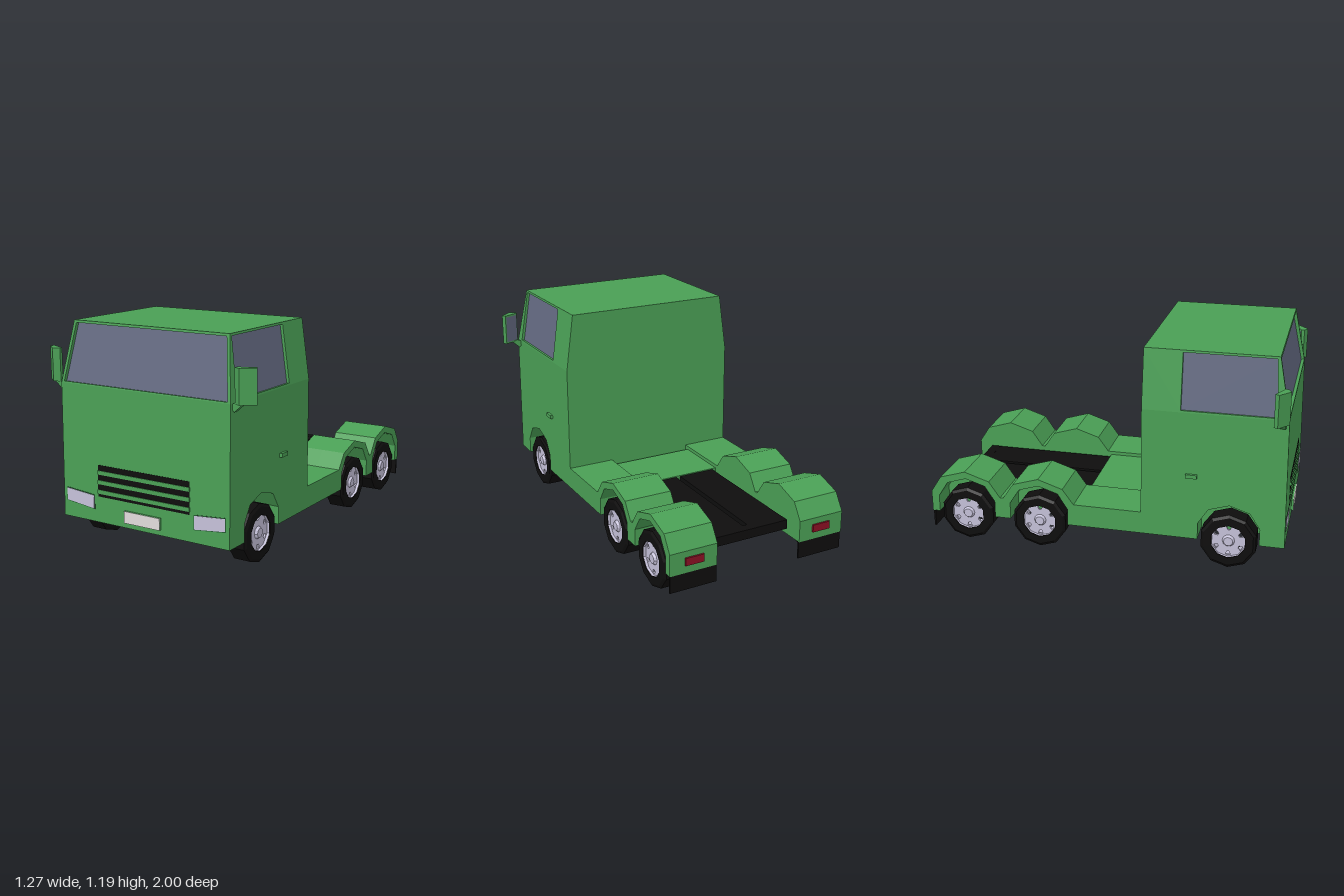
import * as THREE from 'three';

const mat = (color, side = THREE.FrontSide) => new THREE.MeshStandardMaterial({ color, side, flatShading: true });
const GREEN = mat(0x4a9f55), BLACK = mat(0x0e0d0d), GLASS = mat(0x646a82);
const LILAC = mat(0xc4c0d8), RIM = mat(0xc4c0d8, THREE.DoubleSide), WHITE = mat(0xe2dcdc), RED = mat(0x8a1024);

export function createModel() {
  const model = new THREE.Group();

  function add(name, geometry, material, parent = model) {
    const mesh = new THREE.Mesh(geometry, material);
    mesh.name = name;
    parent.add(mesh);
    return mesh;
  }
  // Box given by its limits
  function box(name, material, [x0, x1], [y0, y1], [z0, z1], parent = model) {
    const g = new THREE.BoxGeometry(x1 - x0, y1 - y0, z1 - z0);
    g.translate((x0 + x1) / 2, (y0 + y1) / 2, (z0 + z1) / 2);
    return add(name, g, material, parent);
  }
  const toShape = (pts) => new THREE.Shape(pts.map(([u, v]) => new THREE.Vector2(u, v)));
  const extrude = (shape, depth) => new THREE.ExtrudeGeometry(shape, { depth, bevelEnabled: false });
  // Side profile of [z, y] points, extruded from x0 to x1
  const prism = (shape, x0, x1) => extrude(shape, x1 - x0).rotateY(-Math.PI / 2).translate(x1, 0, 0);
  // Flat quads, corners counter-clockwise from outside
  function quads(list) {
    const g = new THREE.BufferGeometry();
    const pos = list.flatMap(([a, b, c, d]) => [a, b, c, a, c, d].flat());
    g.setAttribute('position', new THREE.Float32BufferAttribute(pos, 3));
    g.computeVertexNormals();
    return g;
  }
  // Wall with a recessed window
  function windowWall(name, outer, inner, recess) {
    const back = inner.map((p) => p.map((v, i) => v + recess[i]));
    const frame = [];
    for (let i = 0; i < 4; i++) {
      const j = (i + 1) % 4;
      frame.push([outer[i], outer[j], inner[j], inner[i]], [inner[i], inner[j], back[j], back[i]]);
    }
    add(name + 'Frame', quads(frame), GREEN);
    add(name + 'Glass', quads([back]), GLASS);
  }
  // Outline of a wheel well, running towards the front
  const well = (z) => [[-0.165, 0.155], [-0.165, 0.25], [-0.11, 0.335], [0, 0.37],
    [0.11, 0.335], [0.165, 0.25], [0.165, 0.155]].map(([dz, y]) => [z + dz, y]);

  const AXLES = [0.69, -0.36, -0.78];
  const WELL_X = 0.38, SIDE_X = 0.52, INNER_X = 0.25;

  // Lower cab: solid core and outer sides with wheel wells
  const cabTop = [[0.988, 0.155], [0.975, 0.87], [0.215, 0.87], [0.215, 0.155]];
  add('cabCore', prism(toShape(cabTop), -WELL_X, WELL_X), GREEN);
  const cabSide = toShape([...cabTop, ...well(AXLES[0])]);

  // Chassis sides with double-humped fenders
  const fenderTop = [[0.215, 0.155], [0.215, 0.28], [-0.16, 0.28], [-0.222, 0.365], [-0.36, 0.41],
    [-0.505, 0.365], [-0.565, 0.275], [-0.583, 0.275], [-0.645, 0.365], [-0.785, 0.41],
    [-0.93, 0.365], [-0.988, 0.275], [-0.988, 0.155]];
  const fenderInner = toShape(fenderTop);
  const fenderOuter = toShape([...fenderTop, ...well(AXLES[2]), ...well(AXLES[1])]);

  // Upper cab: windscreen, side windows, roof, back
  const sx = (y) => 0.52 - 0.045 * (y - 0.87) / 0.32;
  const fz = (y) => 0.975 - 0.065 * (y - 0.87) / 0.32;
  const frontRow = (y, inset) => [[-sx(y) + inset, y, fz(y)], [sx(y) - inset, y, fz(y)]];
  const loop = (lo, hi, inset) => [...frontRow(lo, inset), ...frontRow(hi, inset).reverse()];
  windowWall('windscreen', loop(0.87, 1.19, 0), loop(0.878, 1.177, 0.017), [0, -0.003, -0.018]);
  const [A, B] = [0.475, 1.19];
  add('cabRoof', quads([[[-A, B, 0.91], [A, B, 0.91], [A, B, 0.215], [-A, B, 0.215]]]), GREEN);
  add('cabBack', quads([[[0.52, 0.87, 0.215], [-0.52, 0.87, 0.215], [-A, B, 0.215], [A, B, 0.215]]]), GREEN);

  // Wheel geometry, shared
  const tyrePts = [[0.095, -0.055], [0.14, -0.055], [0.155, -0.046], [0.155, 0.046],
    [0.14, 0.055], [0.095, 0.055], [0.095, -0.055]].map(([r, x]) => new THREE.Vector2(r, x));
  const tyreGeo = new THREE.LatheGeometry(tyrePts, 10, Math.PI / 2).rotateZ(-Math.PI / 2);
  const barrelGeo = new THREE.CylinderGeometry(0.094, 0.094, 0.1, 10, 1, true, Math.PI / 2).rotateZ(-Math.PI / 2);
  const polar = (r, a) => [r * Math.cos(a), r * Math.sin(a)];
  const disc = toShape(Array.from({ length: 10 }, (_, i) => polar(0.095, Math.PI / 2 + i * Math.PI / 5)));
  for (let i = 0; i < 6; i++) {
    const a = (i + 0.5) * Math.PI / 3;
    const hole = [polar(0.064, a - 0.1), polar(0.064, a + 0.1), polar(0.085, a + 0.17), polar(0.085, a - 0.17)];
    disc.holes.push(new THREE.Path(hole.map(([u, v]) => new THREE.Vector2(u, v))));
  }
  const discGeo = prism(disc, 0.025, 0.037);
  const hubGeo = new THREE.CylinderGeometry(0.025, 0.035, 0.015, 10).rotateZ(-Math.PI / 2).translate(0.043, 0, 0);

  // Mirror housing plan of [x, z] points and its arm
  const mirrorPlan = [[0.535, 0.962], [0.57, 0.98], [0.635, 0.925], [0.622, 0.905], [0.535, 0.945]];
  const arm = toShape([[0.512, 0.865], [0.515, 0.845], [0.53, 0.83], [0.575, 0.87], [0.54, 0.88]]);
  const mirrored = (g, s) => {
    if (s > 0) return g;
    // Flip across x and restore the winding
    const f = g.index ? g.toNonIndexed() : g;
    f.scale(-1, 1, 1);
    const p = f.attributes.position;
    for (let i = 0; i < p.count; i += 3) {
      const b = [p.getX(i + 1), p.getY(i + 1), p.getZ(i + 1)];
      p.setXYZ(i + 1, p.getX(i + 2), p.getY(i + 2), p.getZ(i + 2));
      p.setXYZ(i + 2, ...b);
    }
    f.computeVertexNormals();
    return f;
  };

  // Leaning plane of the cab front; local z = 0 is its surface
  const face = new THREE.Group();
  face.name = 'cabFront';
  face.position.set(0, 0.155, 0.988);
  face.rotation.x = -Math.atan2(0.013, 0.715);
  model.add(face);

  for (const s of [1, -1]) {
    const side = s > 0 ? 'left' : 'right';
    const span = (a, b) => (s > 0 ? [a, b] : [-b, -a]);
    add(side + 'CabSide', prism(cabSide, ...span(WELL_X, SIDE_X)), GREEN);
    add(side + 'FenderInner', prism(fenderInner, ...span(INNER_X, WELL_X)), GREEN);
    add(side + 'FenderOuter', prism(fenderOuter, ...span(WELL_X, SIDE_X)), GREEN);

    const at = (y, z) => [s * sx(y), y, z];
    const outer = [at(0.87, 0.975), at(0.87, 0.215), at(1.19, 0.215), at(1.19, 0.91)];
    const inner = [at(0.88, 0.915), at(0.88, 0.42), at(1.178, 0.42), at(1.178, 0.895)];
    if (s < 0) [outer, inner].forEach((l) => l.reverse());
    windowWall(side + 'Window', outer, inner, [-s * 0.015, -0.002, 0]);

    // Wheels
    for (const z of AXLES) {
      const wheel = new THREE.Group();
      wheel.name = side + 'Wheel';
      wheel.position.set(s * 0.46, 0.155, z);
      wheel.rotation.y = s > 0 ? 0 : Math.PI;
      add('tyre', tyreGeo, BLACK, wheel);
      add('rimBarrel', barrelGeo, RIM, wheel);
      add('rimDisc', discGeo, LILAC, wheel);
      add('hub', hubGeo, LILAC, wheel);
      model.add(wheel);
    }

    // Door handle, mudflap, tail light
    box(side + 'DoorHandle', GREEN, span(0.515, 0.535), [0.51, 0.531], [0.455, 0.515]);
    box(side + 'Mudflap', BLACK, span(INNER_X, 0.517), [0.06, 0.16], [-0.985, -0.975]);
    box(side + 'TailLight', RED, span(0.33, 0.435), [0.198, 0.24], [-0.998, -0.98]);

    // Mirror
    const housing = extrude(toShape(mirrorPlan.map(([x, z]) => [x, -z])), 0.175).rotateX(-Math.PI / 2).translate(0, 0.87, 0);
    add(side + 'MirrorHousing', mirrored(housing, s), GREEN);
    add(side + 'MirrorArm', mirrored(extrude(arm, 0.03).translate(0, 0, 0.93), s), GREEN);
    const glass = quads([[[0.617, 0.88, 0.905], [0.54, 0.88, 0.9405], [0.54, 1.035, 0.9405], [0.617, 1.035, 0.905]]]);
    add(side + 'MirrorGlass', mirrored(glass, s), GLASS);

    // Headlight with a dark surround
    const lamp = (e) => toShape([[0.315 - e, 0.07 - e], [0.495 + e, 0.09 - e], [0.495 + e, 0.155 + e], [0.315 - e, 0.14 + e]]
      .map(([x, y]) => [s * x, y]));
    add(side + 'HeadlightSurround', extrude(lamp(0.004), 0.003).translate(0, 0, -0.001), mat(0x245a30), face);
    add(side + 'Headlight', extrude(lamp(0), 0.005).translate(0, 0, -0.001), LILAC, face);
  }

  // Grille: dark panel crossed by body-coloured bars
  box('grille', BLACK, [-0.287, 0.287], [0.139, 0.307], [-0.01, 0.002], face);
  for (const y of [0.155, 0.206, 0.257]) box('grilleBar', GREEN, [-0.288, 0.288], [y, y + 0.021], [-0.005, 0.006], face);

  // Number plate on its mount
  box('plateMount', GREEN, [-0.112, 0.112], [0.184, 0.247], [0.97, 0.998]);
  box('plate', WHITE, [-0.112, 0.112], [0.184, 0.247], [0.995, 1]);

  // Centre deck and coupling frame
  box('centreDeck', GREEN, [-INNER_X, INNER_X], [0.2, 0.26], [-0.14, 0.19]);
  for (const s of [1, -1]) {
    const x = s > 0 ? [0.013, 0.228] : [-0.228, -0.013];
    box('frameRail', BLACK, x, [0.205, 0.255], [-0.9, -0.138]);
  }
  box('frameCrossmember', BLACK, [-0.228, 0.228], [0.204, 0.256], [-0.905, -0.852]);
  return model;
}
